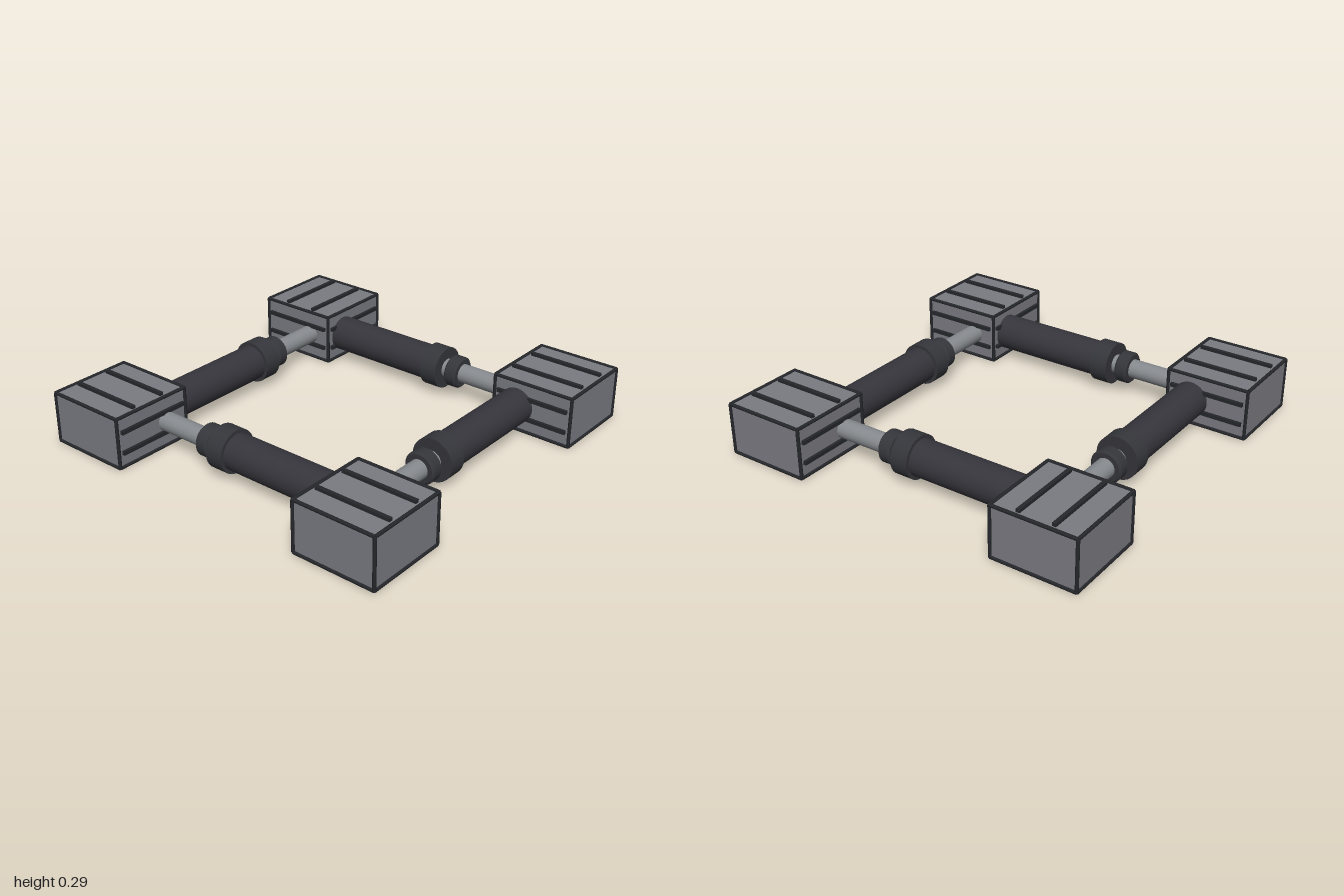
import * as THREE from 'three';

const mat = (name, color) => {
  const m = new THREE.MeshStandardMaterial({ color });
  m.name = name;
  return m;
};

export function createModel() {
  const model = new THREE.Group();
  model.name = 'squareFrame';
  const blockGrey = mat('blockGrey', 0x7a7b82);
  const trimBlack = mat('trimBlack', 0x25272b);
  const sleeveDark = mat('sleeveDark', 0x36353c);
  const collarDark = mat('collarDark', 0x35363b);
  const rodSteel = mat('rodSteel', 0x868a8e);

  const W = 0.44, H = 0.264, MID = 0.141, CORNER = 0.771, AXIS = 0.681;

  const add = (parent, name, geometry, material, x = 0, y = 0, z = 0) => {
    const mesh = new THREE.Mesh(geometry, material);
    mesh.name = name;
    mesh.position.set(x, y, z);
    parent.add(mesh);
    return mesh;
  };

  // Corner block at signs (sx, sz), with ribs on the top and on both inner faces
  function cornerBlock(sx, sz, ribsAlongX) {
    const g = new THREE.Group();
    g.name = 'cornerBlock';
    g.position.set(sx * CORNER, MID, sz * CORNER);
    add(g, 'block', new THREE.BoxGeometry(W, H, W), blockGrey);

    // Round trim along all twelve edges
    const bar = (len) => new THREE.CylinderGeometry(0.009, 0.009, len, 8);
    for (const a of [-1, 1]) for (const b of [-1, 1]) {
      add(g, 'edgeTrim', bar(H), trimBlack, a * W / 2, 0, b * W / 2);
      add(g, 'edgeTrim', bar(W), trimBlack, 0, a * H / 2, b * W / 2).rotation.z = Math.PI / 2;
      add(g, 'edgeTrim', bar(W), trimBlack, a * W / 2, b * H / 2, 0).rotation.x = Math.PI / 2;
    }

    // Pairs of raised ribs
    for (const s of [-1, 1]) {
      const top = add(g, 'topRib', new THREE.BoxGeometry(0.02, 0.024, 0.4), trimBlack,
        ribsAlongX ? 0 : s * 0.09, H / 2 + 0.004, ribsAlongX ? s * 0.09 : 0);
      if (ribsAlongX) top.rotation.y = Math.PI / 2;
      add(g, 'innerRib', new THREE.BoxGeometry(0.024, 0.02, 0.4), trimBlack,
        -sx * (W / 2 + 0.004), s * 0.055, 0);
      add(g, 'innerRib', new THREE.BoxGeometry(0.4, 0.02, 0.024), trimBlack,
        0, s * 0.055, -sz * (W / 2 + 0.004));
    }
    model.add(g);
  }
  for (const sx of [-1, 1]) for (const sz of [-1, 1]) cornerBlock(sx, sz, sx > 0 && sz < 0);

  // Telescopic strut, running along x on the front side before being turned
  function strut(turn) {
    const g = new THREE.Group();
    g.name = 'strut';
    const round = (name, x0, x1, r0, r1, material) => {
      const geo = new THREE.CylinderGeometry(r1, r0, x1 - x0, 32).rotateZ(-Math.PI / 2);
      add(g, name, geo, material, (x0 + x1) / 2, MID, AXIS);
    };
    round('rod', -0.56, 0, 0.05, 0.05, rodSteel);
    round('sleeve', -0.08, 0.56, 0.094, 0.094, sleeveDark);
    round('collar', -0.166, -0.07, 0.112, 0.112, collarDark);
    // Stop ring with chamfered rims
    round('stopRing', -0.27, -0.26, 0.074, 0.084, collarDark);
    round('stopRing', -0.26, -0.21, 0.084, 0.084, collarDark);
    round('stopRing', -0.21, -0.2, 0.084, 0.074, collarDark);
    g.rotation.y = turn;
    model.add(g);
  }
  for (let i = 0; i < 4; i++) strut(i * Math.PI / 2);

  return model;
}
